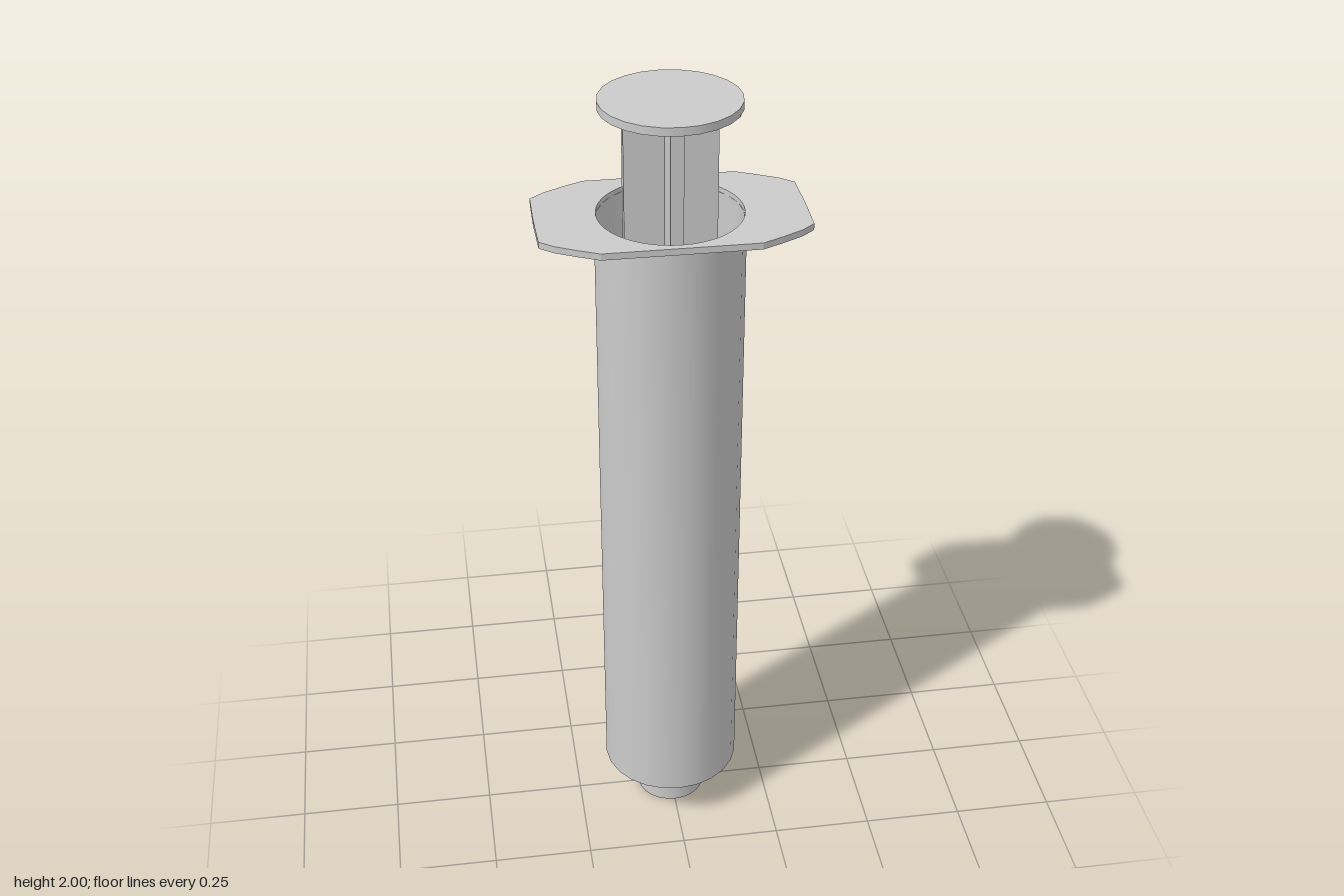
import * as THREE from 'three';
import { toCreasedNormals } from 'three/addons/utils/BufferGeometryUtils.js';

const SIDES = 24;

export function createModel() {
  const model = new THREE.Group();
  const material = new THREE.MeshStandardMaterial({ color: 0xcccccc });

  function add(name, geometry, y = 0, parent = model) {
    const mesh = new THREE.Mesh(geometry, material);
    mesh.name = name;
    mesh.position.y = y;
    parent.add(mesh);
    return mesh;
  }

  // Hollow barrel with an open nozzle, as one closed wall profile
  const profile = [
    [0.077, 0], [0.088, 0], [0.088, 0.12], [0.175, 0.12], [0.175, 1.715],
    [0.17, 1.715], [0.17, 0.132], [0.077, 0.132], [0.077, 0],
  ].map(([r, y]) => new THREE.Vector2(r, y));
  add('barrel', toCreasedNormals(new THREE.LatheGeometry(profile, SIDES), 0.7));

  // Finger flange: one corner mirrored into four, with a round opening
  const corner = [[0.312, 0], [0.31, 0.11], [0.278, 0.137], [0.23, 0.163], [0.18, 0.187]];
  const mirrored = corner.slice(1).reverse().map(([x, z]) => [-x, z]);
  const half = [...corner, ...mirrored];
  const outline = [...half, ...half.map(([x, z]) => [-x, -z])];
  const flangeShape = new THREE.Shape(outline.map(([x, z]) => new THREE.Vector2(x, z)));
  flangeShape.holes.push(new THREE.Path().absarc(0, 0, 0.17, 0, Math.PI * 2, true));
  const flange = new THREE.ExtrudeGeometry(flangeShape, {
    depth: 0.016, bevelEnabled: false, curveSegments: SIDES,
  });
  flange.rotateX(-Math.PI / 2);
  add('fingerFlange', flange, 1.711);

  // Plunger: cross-shaped rod, thumb disc and piston
  const plunger = new THREE.Group();
  plunger.name = 'plunger';
  model.add(plunger);

  const w = 0.108, t = 0.015;
  const cross = new THREE.Shape();
  for (let i = 0; i < 4; i++) {
    const c = Math.round(Math.cos(i * Math.PI / 2)), s = Math.round(Math.sin(i * Math.PI / 2));
    for (const [x, y] of [[w, -t], [w, t], [t, t]]) {
      const px = x * c - y * s, py = x * s + y * c;
      if (i === 0 && cross.curves.length === 0 && x === w && y === -t) cross.moveTo(px, py);
      else cross.lineTo(px, py);
    }
  }
  cross.closePath();
  const rodBottom = 0.4, rodTop = 1.982;
  const rod = new THREE.ExtrudeGeometry(cross, { depth: rodTop - rodBottom, bevelEnabled: false });
  rod.rotateX(-Math.PI / 2);
  add('plungerRod', rod, rodBottom, plunger);
  add('thumbDisc', new THREE.CylinderGeometry(0.163, 0.163, 0.02, SIDES), 1.99, plunger);
  add('piston', new THREE.CylinderGeometry(0.166, 0.166, 0.08, SIDES), 0.37, plunger);

  return model;
}
